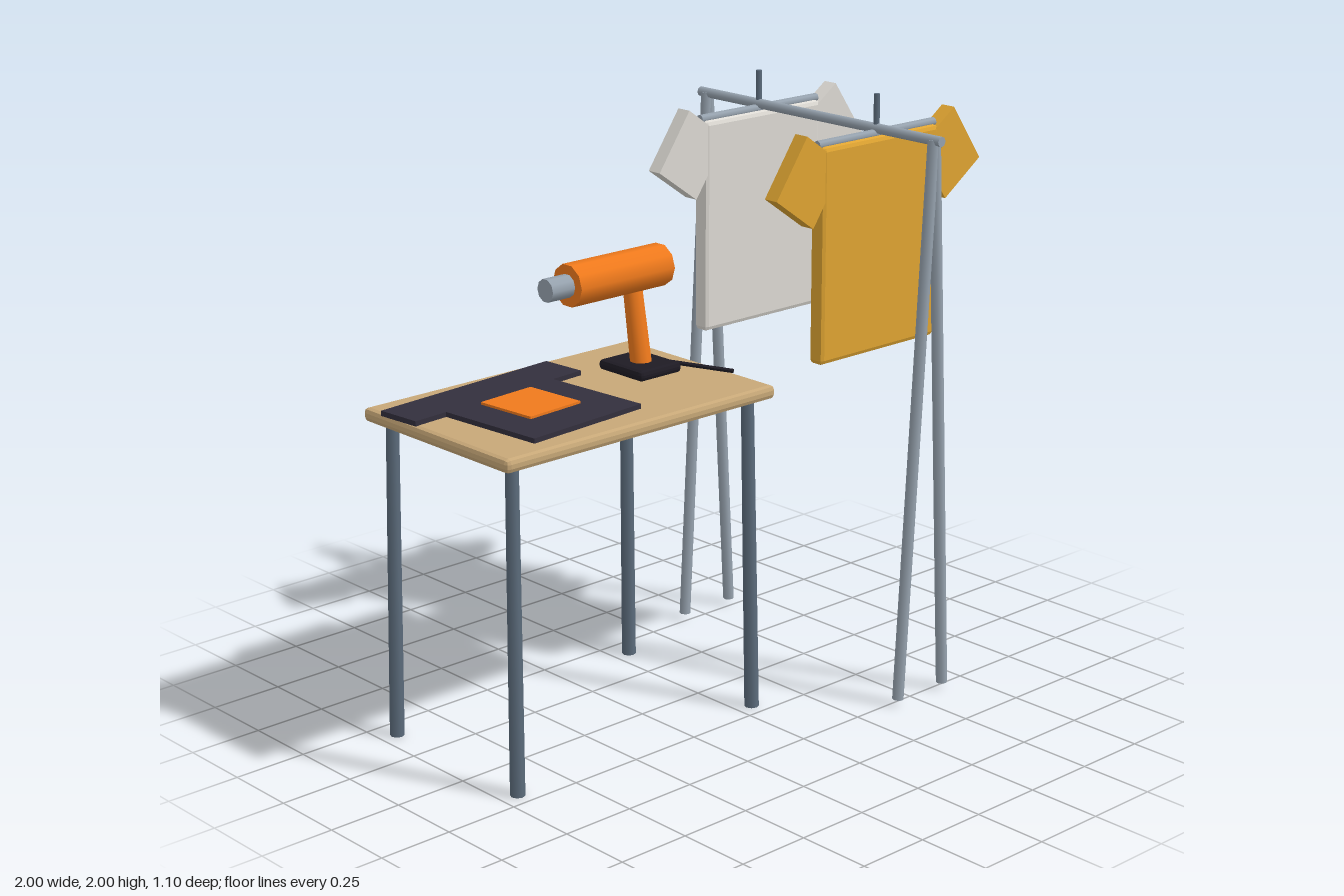
import * as THREE from 'three';
import { RoundedBoxGeometry } from 'three/addons/geometries/RoundedBoxGeometry.js';

const mat = (color, flatShading = false) => new THREE.MeshStandardMaterial({ color, flatShading });
const wood = mat(0xc8a878, true), steel = mat(0x5c6c7c), pole = mat(0x97a3af);
const orange = mat(0xf07a1c), cloth = mat(0x332f3d), black = mat(0x1e1b24, true);

function add(parent, name, geometry, material, x = 0, y = 0, z = 0) {
  const mesh = new THREE.Mesh(geometry, material);
  mesh.name = name;
  mesh.position.set(x, y, z);
  parent.add(mesh);
  return mesh;
}

// Cylinder running from point a (radius ra) to point b (radius rb)
function rod(parent, name, a, b, ra, rb, material, sides = 8) {
  const from = new THREE.Vector3(...a), to = new THREE.Vector3(...b);
  const dir = to.clone().sub(from);
  const mesh = add(parent, name, new THREE.CylinderGeometry(rb, ra, dir.length(), sides), material);
  mesh.position.copy(from).add(to).multiplyScalar(0.5);
  mesh.quaternion.setFromUnitVectors(new THREE.Vector3(0, 1, 0), dir.normalize());
  return mesh;
}

function makeTable() {
  const g = new THREE.Group();
  g.name = 'table';
  g.position.set(-0.44, 0, -0.11);
  add(g, 'tableTop', new RoundedBoxGeometry(1.105, 0.046, 0.71, 1, 0.016), wood, 0, 1.088, 0);
  for (const sx of [-1, 1]) for (const sz of [-1, 1]) {
    rod(g, 'tableLeg', [sx * 0.5, 0, sz * 0.306], [sx * 0.485, 1.075, sz * 0.293], 0.024, 0.021, steel);
  }
  return g;
}

function makeRack() {
  const g = new THREE.Group();
  g.name = 'clothesRack';
  g.position.x = 0.527;
  for (const z of [-0.52, 0.52]) for (const s of [-1, 1]) {
    rod(g, 'rackLeg', [s * 0.107, 0.02, z], [s * 0.003, 1.89, z], 0.019, 0.019, pole);
  }
  rod(g, 'rackBar', [0, 1.888, -0.552], [0, 1.888, 0.552], 0.017, 0.017, pole);
  return g;
}

function makeHangingShirt(name, color, z) {
  const g = new THREE.Group();
  g.name = name;
  g.position.set(0.527, 0, z);
  const fabric = mat(color, true);
  add(g, 'shirtBody', new RoundedBoxGeometry(0.535, 0.715, 0.056, 1, 0.016), fabric, 0, 1.51, 0);
  for (const s of [-1, 1]) {
    const sleeve = add(g, 'sleeve', new THREE.BoxGeometry(0.198, 0.229, 0.053), fabric, s * 0.323, 1.764, 0);
    sleeve.rotation.z = s * 0.61;
  }
  rod(g, 'hangerBar', [-0.268, 1.872, 0], [0.268, 1.872, 0], 0.015, 0.015, pole);
  rod(g, 'hangerHook', [0, 1.86, 0], [0, 2, 0], 0.01, 0.01, steel);
  return g;
}

// T-shaped garment lying on the table with a square patch
function makeFoldedShirt() {
  const g = new THREE.Group();
  g.name = 'flatShirt';
  g.position.set(-0.638, 1.11, -0.308);
  g.rotation.y = 0.084;
  const outline = [
    [-0.358, 0.079], [0.358, 0.079], [0.358, -0.079], [0.232, -0.079],
    [0.232, -0.465], [-0.232, -0.465], [-0.232, -0.079], [-0.358, -0.079],
  ].reverse().map(p => new THREE.Vector2(...p));
  const geo = new THREE.ExtrudeGeometry(new THREE.Shape(outline), { depth: 0.017, bevelEnabled: false });
  geo.rotateX(-Math.PI / 2);
  add(g, 'shirtPanel', geo, cloth);
  add(g, 'patch', new THREE.BoxGeometry(0.216, 0.01, 0.22), orange, 0, 0.02, 0.213);
  return g;
}

function makeBlower() {
  const g = new THREE.Group();
  g.name = 'blower';
  g.position.set(-0.12, 0, -0.146);
  add(g, 'base', new RoundedBoxGeometry(0.178, 0.036, 0.21, 1, 0.014), black, 0, 1.137, 0);
  rod(g, 'handle', [0, 1.14, 0.006], [0, 1.405, -0.036], 0.036, 0.032, orange, 10);
  rod(g, 'barrel', [-0.302, 1.46, 0], [0.09, 1.46, 0], 0.07, 0.07, orange, 10);
  rod(g, 'nozzle', [-0.392, 1.46, 0], [-0.29, 1.46, 0], 0.038, 0.038, pole, 10);
  rod(g, 'cable', [0.06, 1.152, 0.055], [0.218, 1.12, 0.21], 0.008, 0.008, black, 6);
  return g;
}

export function createModel() {
  const model = new THREE.Group();
  model.name = 'garmentStation';
  model.add(
    makeTable(),
    makeRack(),
    makeHangingShirt('yellowShirt', 0xe0a532, 0.27),
    makeHangingShirt('whiteShirt', 0xdedbd5, -0.27),
    makeFoldedShirt(),
    makeBlower(),
  );
  return model;
}
